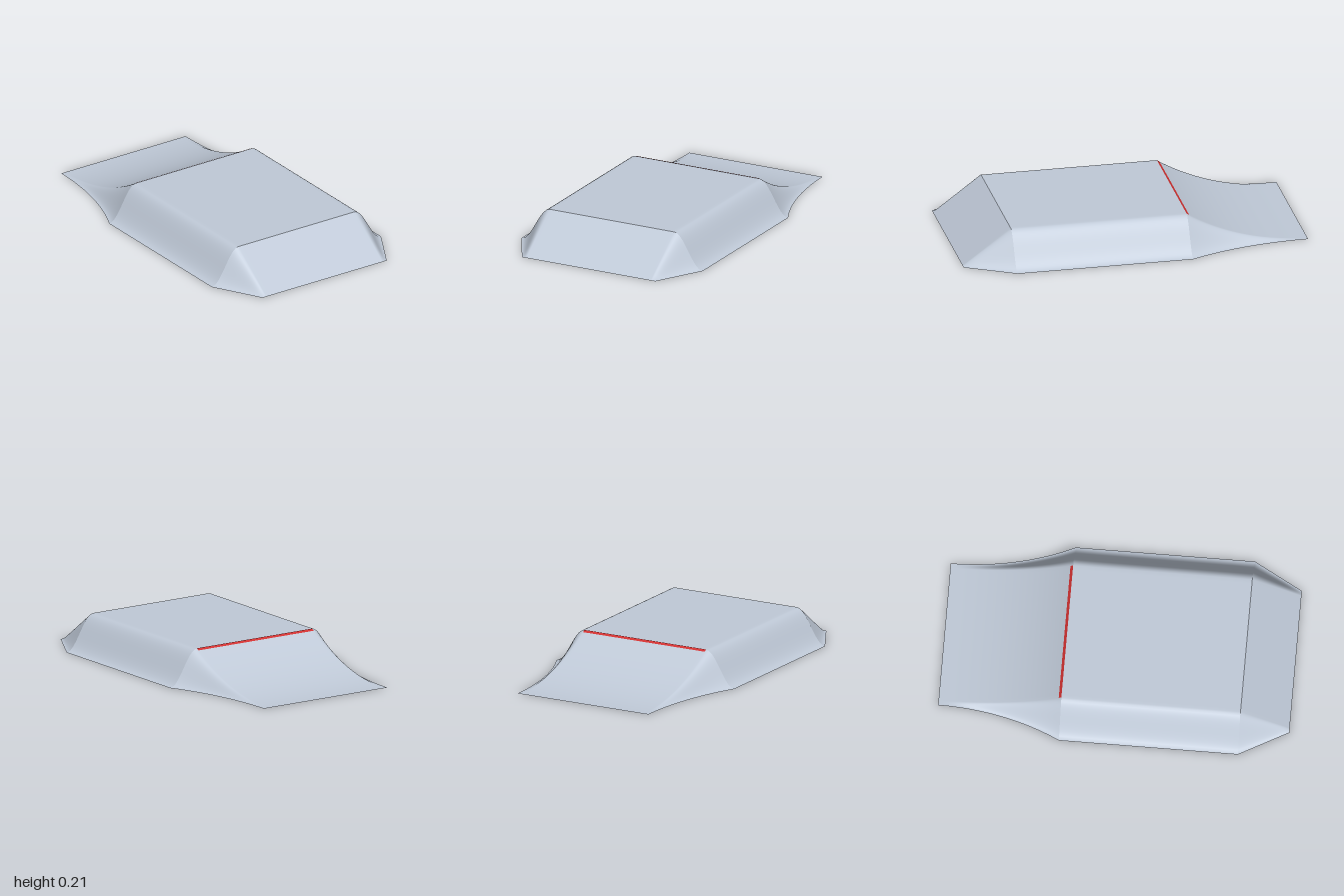
import * as THREE from 'three';

const HEIGHT = 0.205, FLAT = 0.4, FOOT = 0.43, WIDE = 0.585;
const BACK = -1, COPING = -0.3, BREAK = 0.72, FRONT = 1;
const RUN = COPING - BACK;
const RADIUS = (RUN * RUN + HEIGHT * HEIGHT) / (2 * HEIGHT);

// height of the ramp's spine at a given depth
function spine(z) {
  if (z < COPING) return RADIUS - Math.sqrt(RADIUS ** 2 - (z - BACK) ** 2);
  if (z > BREAK) return HEIGHT * (FRONT - z) / (FRONT - BREAK);
  return HEIGHT;
}

// cross-section: flat middle with S-curved flanks flaring out with height
function section(z) {
  const h = spine(z);
  const edge = FOOT + (WIDE - FOOT) * h / HEIGHT;
  const right = [];
  const steps = 16;
  for (let i = 0; i <= steps; i++) {
    const t = i / steps;
    right.push([FLAT + (edge - FLAT) * t, h * (1 + Math.cos(Math.PI * t)) / 2]);
  }
  const left = right.map(([x, y]) => [-x, y]).reverse();
  const middle = [-0.38, -0.13, 0.13, 0.38].map((x) => [x, h]);
  return [...left, ...middle, ...right].map(([x, y]) => [x, y, z]);
}

// open sheet through evenly spaced cross-sections
function sheet(z0, z1, segments) {
  const rows = [];
  for (let i = 0; i <= segments; i++) rows.push(section(z0 + (z1 - z0) * i / segments));
  const n = rows[0].length;
  const index = [];
  for (let i = 0; i < segments; i++) {
    for (let j = 0; j < n - 1; j++) {
      const a = i * n + j, b = a + n;
      index.push(a, b, a + 1, b, b + 1, a + 1);
    }
  }
  const geometry = new THREE.BufferGeometry();
  geometry.setAttribute('position', new THREE.Float32BufferAttribute(rows.flat(2), 3));
  geometry.setIndex(index);
  geometry.computeVertexNormals();
  return geometry;
}

export function createModel() {
  const group = new THREE.Group();
  group.name = 'ramp';

  const surface = new THREE.MeshStandardMaterial({ color: 0xc0cad8, side: THREE.DoubleSide });
  surface.name = 'pale blue grey';
  const red = new THREE.MeshStandardMaterial({ color: 0xd03030, side: THREE.DoubleSide });
  red.name = 'red';

  const add = (name, geometry, material) => {
    const mesh = new THREE.Mesh(geometry, material);
    mesh.name = name;
    group.add(mesh);
    return mesh;
  };

  // curved back, level deck and straight front slope
  add('curvedTransition', sheet(BACK, COPING, 24), surface);
  add('deck', sheet(COPING, BREAK, 8), surface);
  add('frontSlope', sheet(BREAK, FRONT, 8), surface);

  // thin painted line lying on the top of the curve
  const slope = Math.asin(RUN / RADIUS);
  const line = add('edgeLine', new THREE.PlaneGeometry(FLAT * 2, 0.018), red);
  line.rotation.x = -Math.PI / 2 - slope;
  const z = COPING - 0.008;
  line.position.set(0, spine(z) + 0.002, z);

  return group;
}
